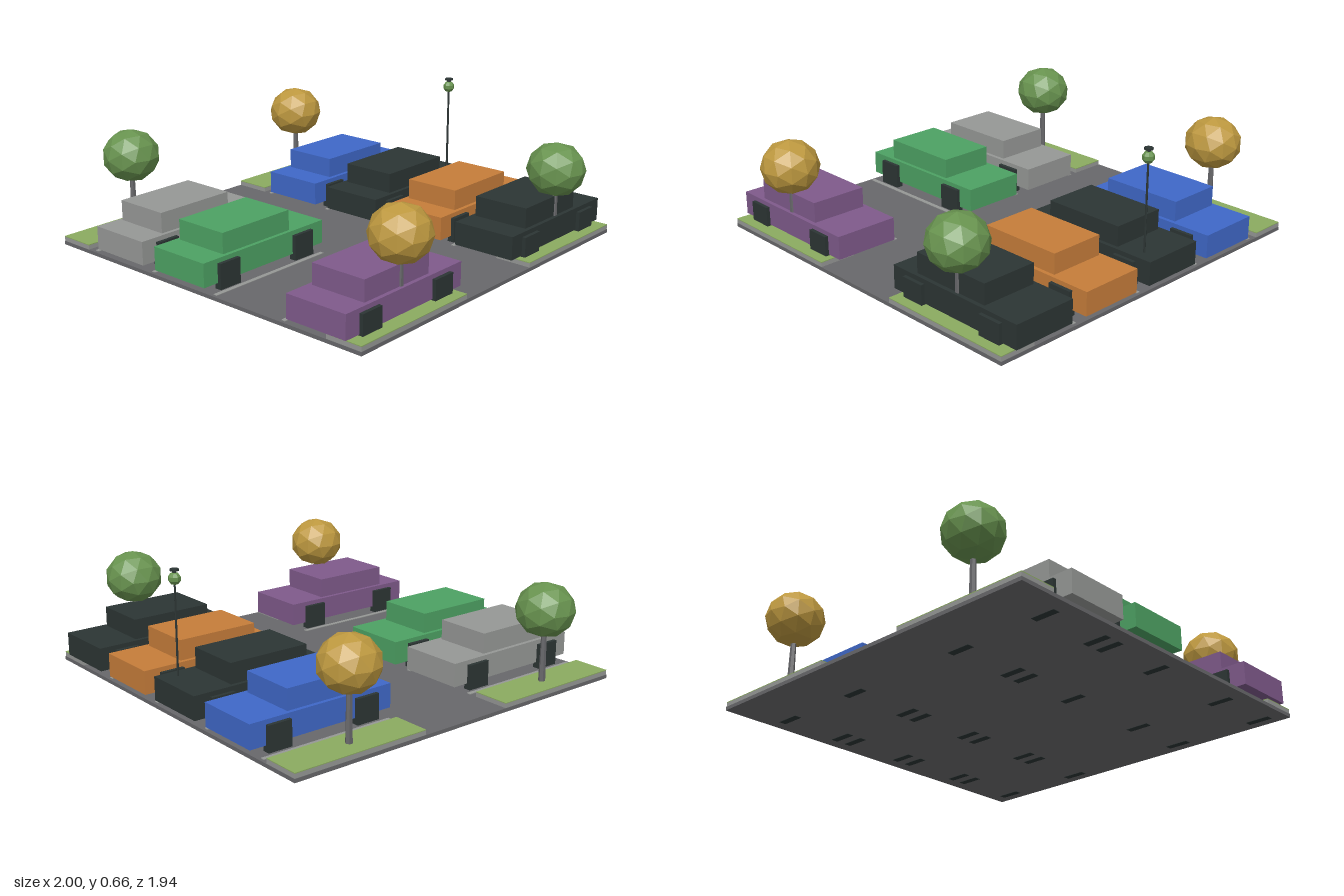
import * as THREE from 'three';

const mat = (name, color) => {
  const m = new THREE.MeshStandardMaterial({ color, flatShading: true });
  m.name = name;
  return m;
};

export function createModel() {
  const M = {
    asphalt: mat('asphalt grey', 0x68686b),
    grey: mat('light grey', 0x969896),
    grass: mat('grass green', 0x8bab60),
    dark: mat('charcoal', 0x2c3534),
    blue: mat('blue paint', 0x3f68c8),
    orange: mat('orange paint', 0xc67d3a),
    green: mat('green paint', 0x4da163),
    purple: mat('purple paint', 0x7f5a8b),
    leaf: mat('leaf green', 0x68934f),
    gold: mat('autumn gold', 0xbd983f),
  };
  const model = new THREE.Group();
  model.name = 'parkingLot';

  const add = (parent, name, geometry, material, x, y, z) => {
    const mesh = new THREE.Mesh(geometry, material);
    mesh.name = name;
    mesh.position.set(x, y, z);
    parent.add(mesh);
    return mesh;
  };
  // box given by its centre in x and z and its bottom and top in y
  const box = (parent, name, material, x, z, w, d, y0, y1) =>
    add(parent, name, new THREE.BoxGeometry(w, y1 - y0, d), material, x, (y0 + y1) / 2, z);
  const group = (name, x, z) => {
    const g = new THREE.Group();
    g.name = name;
    g.position.set(x, 0, z);
    model.add(g);
    return g;
  };

  // Ground slab
  box(model, 'ground', M.asphalt, 0, 0, 1.91, 1.91, 0.002, 0.02);

  // Bay lines and centre dashes
  for (const s of [-1, 1])
    for (const x of [-0.72, -0.308, 0.103, 0.515])
      box(model, 'bayLine', M.grey, x, s * 0.593, 0.021, 0.695, 0.019, 0.023);
  for (const x of [-0.232, 0.303])
    box(model, 'laneDash', M.grey, x, -0.004, 0.195, 0.021, 0.019, 0.023);

  // Corner islands, each with a tree
  for (const sx of [-1, 1])
    for (const sz of [-1, 1]) {
      const island = group('island', sx * 0.86, sz * 0.6);
      box(island, 'kerb', M.grey, 0, 0, 0.187, 0.706, 0.015, 0.041);
      box(island, 'grass', M.grass, 0, 0, 0.187, 0.706, 0.041, 0.045);
      const tree = group('tree', sx * 0.857, sz * 0.595);
      add(tree, 'trunk', new THREE.CylinderGeometry(0.013, 0.017, 0.26, 6), M.asphalt, 0, 0.17, 0);
      const crown = add(tree, 'crown', new THREE.IcosahedronGeometry(0.143, 1),
        sx * sz < 0 ? M.leaf : M.gold, 0, 0.397, 0);
      crown.scale.y = 0.93;
    }

  // Cars: body, cabin set towards +z, four square wheels
  const car = (paint, x, z) => {
    const g = group('car', x, z);
    box(g, 'body', paint, 0, 0, 0.325, 0.768, 0.05, 0.165);
    box(g, 'cabin', paint, 0, 0.036, 0.285, 0.423, 0.165, 0.265);
    for (const sx of [-1, 1])
      for (const sz of [-1, 1])
        box(g, 'wheel', M.dark, sx * 0.163, sz * 0.24, 0.036, 0.122, 0, 0.143);
  };
  const bays = [-0.51, -0.1, 0.311, 0.721];
  [M.blue, M.dark, M.orange, M.dark].forEach((p, i) => car(p, bays[i], -0.585));
  [M.grey, M.green, null, M.purple].forEach((p, i) => p && car(p, bays[i], 0.583));

  // Street lamp
  const lamp = group('streetLamp', 0, -0.882);
  add(lamp, 'pole', new THREE.CylinderGeometry(0.005, 0.006, 0.58, 6), M.dark, 0, 0.305, 0);
  add(lamp, 'poleFoot', new THREE.CylinderGeometry(0.009, 0.011, 0.03, 6), M.dark, 0, 0.033, 0);
  add(lamp, 'lantern', new THREE.SphereGeometry(0.03, 8, 5), M.leaf, 0, 0.62, 0);
  add(lamp, 'neck', new THREE.CylinderGeometry(0.01, 0.01, 0.02, 6), M.dark, 0, 0.649, 0);
  add(lamp, 'cap', new THREE.CylinderGeometry(0.021, 0.021, 0.009, 8), M.dark, 0, 0.66, 0);

  return model;
}
